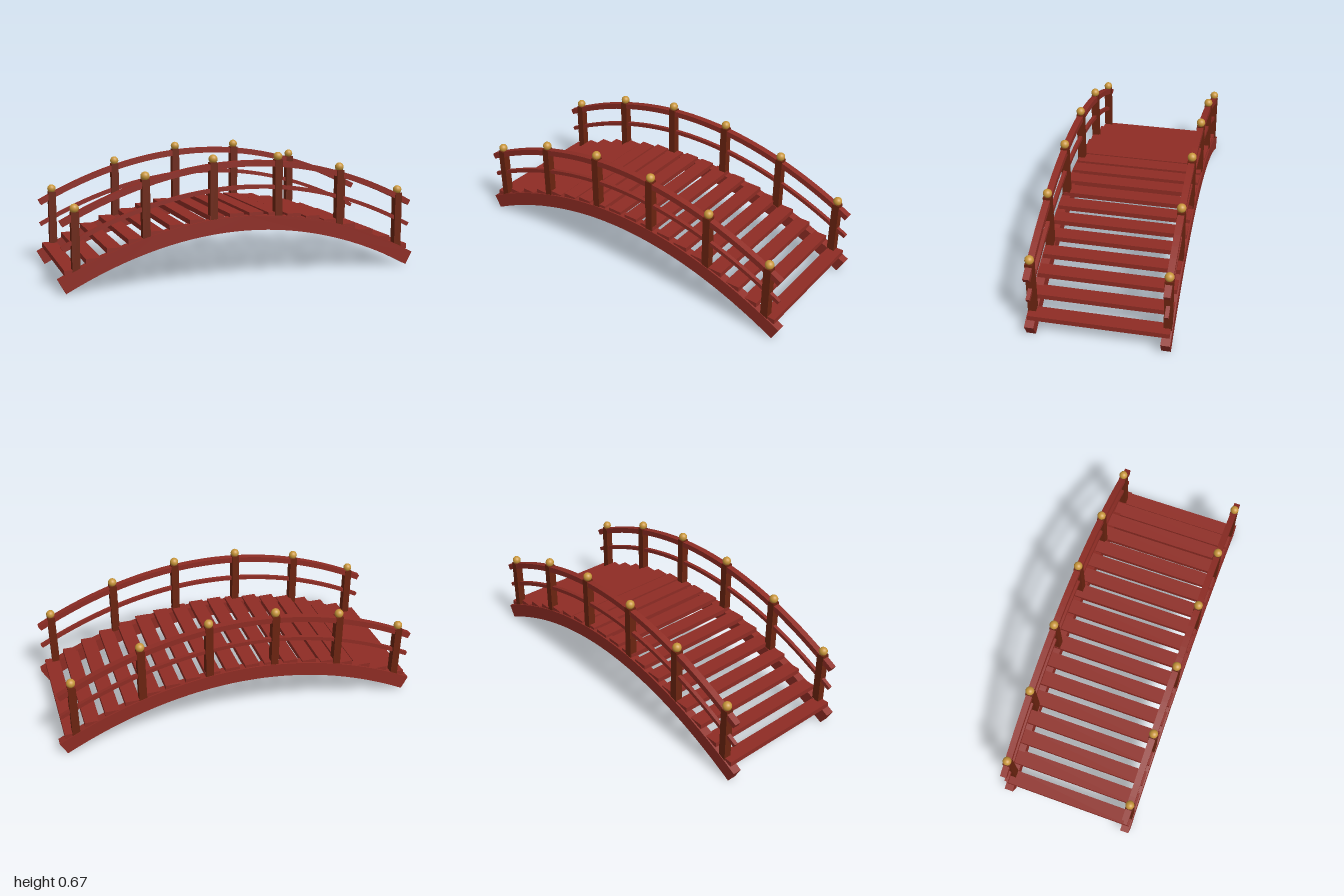
import * as THREE from 'three';

const SIDE_Z = 0.343; // centre line of each beam and railing
const CROWN = 0.298;
const FALL = 0.2727;
const archY = (x) => CROWN - FALL * x * x;

// Bar of even thickness that follows the arch, raised by lift
function archedBar(endX, lift, thickness, width, segments = 32) {
  const upper = [];
  const lower = [];
  for (let i = 0; i <= segments; i++) {
    const x = -endX + (2 * endX * i) / segments;
    const y = archY(x) + lift;
    const normal = new THREE.Vector2(2 * FALL * x, 1).normalize().multiplyScalar(thickness / 2);
    upper.push(new THREE.Vector2(x + normal.x, y + normal.y));
    lower.push(new THREE.Vector2(x - normal.x, y - normal.y));
  }
  const shape = new THREE.Shape([...lower, ...upper.reverse()]);
  const geometry = new THREE.ExtrudeGeometry(shape, { depth: width, bevelEnabled: false });
  return geometry.translate(0, 0, -width / 2);
}

export function createModel() {
  const red = new THREE.MeshStandardMaterial({ name: 'red painted wood', color: 0x8e2c24 });
  const brown = new THREE.MeshStandardMaterial({ name: 'brown post wood', color: 0x6b2410 });
  const gold = new THREE.MeshStandardMaterial({ name: 'gold', color: 0xc8963a });

  const bridge = new THREE.Group();
  bridge.name = 'archedFootbridge';
  const add = (parent, name, geometry, material, x, y, z) => {
    const mesh = new THREE.Mesh(geometry, material);
    mesh.name = name;
    mesh.position.set(x, y, z);
    parent.add(mesh);
  };

  // Level deck planks stepping over the arch
  const deck = new THREE.Group();
  deck.name = 'deck';
  bridge.add(deck);
  const plankGeometry = new THREE.BoxGeometry(0.08, 0.027, 0.718);
  const plankCount = 18;
  for (let i = 0; i < plankCount; i++) {
    const x = -0.929 + (1.858 * i) / (plankCount - 1);
    add(deck, 'plank', plankGeometry, red, x, archY(x) + 0.0425, 0);
  }

  // Beam, rails, posts and knobs on both sides
  const beamGeometry = archedBar(0.982, 0, 0.078, 0.048);
  const handrailGeometry = archedBar(0.978, 0.315, 0.031, 0.034);
  const midRailGeometry = archedBar(0.978, 0.19, 0.021, 0.02);
  const postHeight = 0.337;
  const postGeometry = new THREE.BoxGeometry(0.041, postHeight, 0.041);
  const knobGeometry = new THREE.SphereGeometry(0.0237, 16, 12);
  const postCount = 6;

  for (const side of [1, -1]) {
    const railing = new THREE.Group();
    railing.name = side > 0 ? 'frontRailing' : 'backRailing';
    railing.position.z = side * SIDE_Z;
    bridge.add(railing);

    add(railing, 'beam', beamGeometry, red, 0, 0, 0);
    add(railing, 'handrail', handrailGeometry, red, 0, 0, 0);
    add(railing, 'midRail', midRailGeometry, red, 0, 0, 0);
    for (let i = 0; i < postCount; i++) {
      const x = -0.908 + (1.816 * i) / (postCount - 1);
      const y = archY(x);
      add(railing, 'post', postGeometry, brown, x, y + postHeight / 2, 0);
      add(railing, 'knob', knobGeometry, gold, x, y + 0.354, 0);
    }
  }
  return bridge;
}
